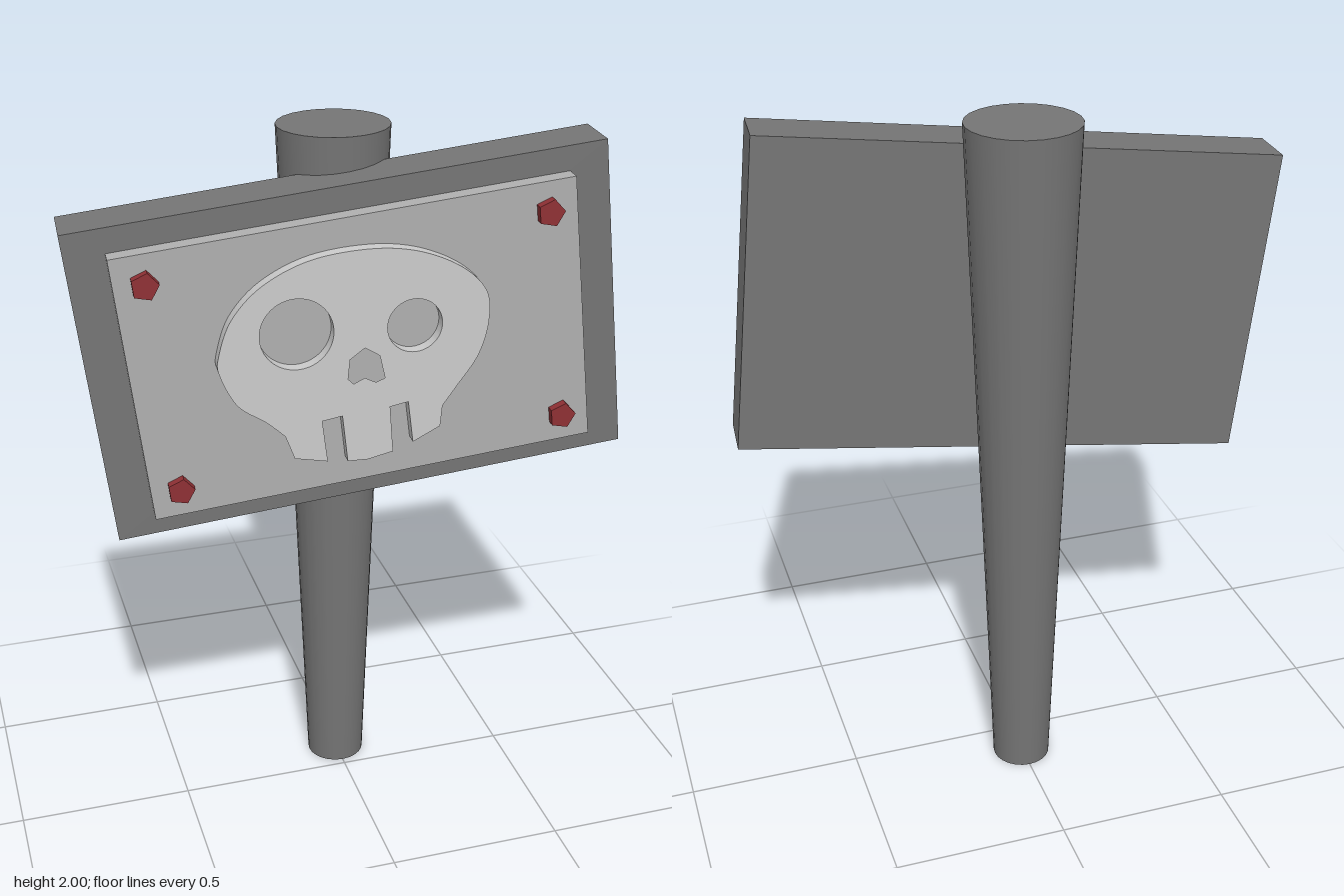
import * as THREE from 'three';
import { toCreasedNormals } from 'three/addons/utils/BufferGeometryUtils.js';

const ROLL = 0.1145, YAW = -0.076;

function part(name, geometry, color, x = 0, y = 0, z = 0, flatShading = false) {
  const mesh = new THREE.Mesh(geometry, new THREE.MeshStandardMaterial({ color, flatShading }));
  mesh.name = name;
  mesh.position.set(x, y, z);
  return mesh;
}

const points = (list) => list.map(([x, y]) => new THREE.Vector2(x, y));

function skullGeometry() {
  // smooth cranium, running clockwise from the left cheek to the right cheek
  const shape = new THREE.Shape();
  shape.moveTo(-0.215, -0.21);
  shape.splineThru(points([
    [-0.265, -0.165], [-0.34, -0.11], [-0.385, -0.02], [-0.385, 0.035], [-0.35, 0.13],
    [-0.27, 0.215], [-0.145, 0.275], [0.01, 0.295], [0.14, 0.28], [0.255, 0.23],
    [0.325, 0.16], [0.335, 0.075], [0.31, -0.02], [0.25, -0.11], [0.215, -0.16],
  ]));
  // angular jaw with two gaps between the teeth
  for (const [x, y] of [
    [0.21, -0.22], [0.135, -0.26], [0.12, -0.14], [0.07, -0.15], [0.08, -0.283], [0.01, -0.3],
    [-0.045, -0.3], [-0.06, -0.165], [-0.115, -0.175], [-0.1, -0.295], [-0.19, -0.278], [-0.215, -0.21],
  ]) shape.lineTo(x, y);
  // eye sockets
  for (const [x, y, r] of [[-0.181, 0.077, 0.098], [0.134, 0.077, 0.074]]) {
    shape.holes.push(new THREE.Path().absarc(x, y, r, 0, Math.PI * 2));
  }
  // nose
  shape.holes.push(new THREE.Path(points([
    [0, 0.025], [0.04, 0], [0.055, -0.065], [0.03, -0.075],
    [0, -0.06], [-0.03, -0.075], [-0.045, -0.06], [-0.04, -0.005],
  ])));
  const geometry = new THREE.ExtrudeGeometry(shape, { depth: 0.037, bevelEnabled: false, curveSegments: 3 * 12 });
  return toCreasedNormals(geometry, 0.6);
}

export function createModel() {
  const model = new THREE.Group();
  model.name = 'signpost';

  // tapered post, wider at the top
  model.add(part('post', new THREE.CylinderGeometry(0.155, 0.085, 2, 24), 0x757575, 0, 1, -0.105));

  // crooked sign assembly: yawed first, then rolled
  const sign = new THREE.Group();
  sign.name = 'sign';
  sign.rotation.set(0, YAW, ROLL, 'ZYX');
  sign.position.set(0, 1.465, 0.065);
  model.add(sign);

  sign.add(part('board', new THREE.BoxGeometry(1.438, 0.88, 0.155), 0x757575));
  sign.add(part('plate', new THREE.BoxGeometry(1.225, 0.745, 0.05), 0xb0b0b0, 0, 0, 0.1025));

  const skull = part('skull', skullGeometry(), 0xcccccc, 0, 0, 0.1275);
  skull.rotation.z = -ROLL;
  sign.add(skull);

  // five-sided bolt heads in the plate corners
  const boltGeometry = new THREE.CylinderGeometry(0.038, 0.038, 0.025, 5, 1, false, Math.PI / 2);
  boltGeometry.rotateX(Math.PI / 2);
  for (const sx of [-1, 1]) {
    for (const sy of [-1, 1]) {
      sign.add(part('bolt', boltGeometry, 0x8f3034, sx * 0.533, sy * 0.293, 0.14, true));
    }
  }
  return model;
}
